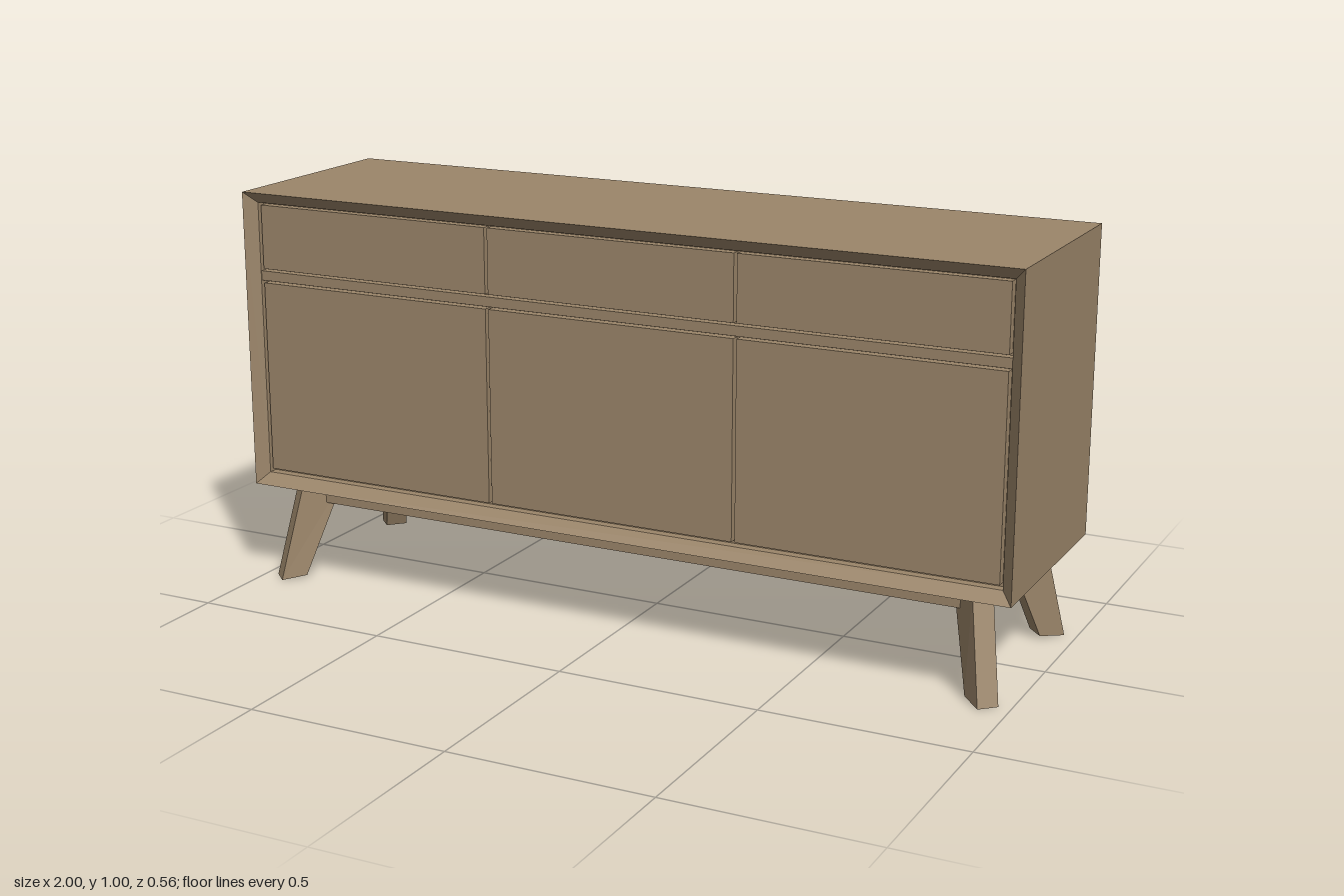
import * as THREE from 'three';

const wood = new THREE.MeshStandardMaterial({ color: 0x9c866a });
wood.name = 'wood';
const backboard = new THREE.MeshStandardMaterial({ color: 0x8b5a3b });
backboard.name = 'brown backboard';

// Closed flat-faced solid through a list of four-cornered loops
function loft(loops) {
  const p = [];
  const quad = (a, b, c, d) => p.push(...a, ...b, ...c, ...a, ...c, ...d);
  for (let i = 0; i < loops.length - 1; i++) {
    for (let j = 0; j < 4; j++) {
      const k = (j + 1) % 4;
      quad(loops[i][j], loops[i][k], loops[i + 1][k], loops[i + 1][j]);
    }
  }
  quad(...[...loops[0]].reverse());
  quad(...loops[loops.length - 1]);
  const g = new THREE.BufferGeometry();
  g.setAttribute('position', new THREE.Float32BufferAttribute(p, 3));
  g.computeVertexNormals();
  return g;
}

export function createModel() {
  const model = new THREE.Group();
  model.name = 'sideboard';

  const add = (name, geometry, material = wood) => {
    const mesh = new THREE.Mesh(geometry, material);
    mesh.name = name;
    model.add(mesh);
    return mesh;
  };
  // Box given by its limits
  const box = (name, x0, x1, y0, y1, z0, z1, material) =>
    add(name, new THREE.BoxGeometry(x1 - x0, y1 - y0, z1 - z0), material)
      .position.set((x0 + x1) / 2, (y0 + y1) / 2, (z0 + z1) / 2);

  // Cabinet body with a bevelled front frame around a shallow recess
  const rect = (inset, z) => {
    const x = 1 - inset, y0 = 0.25 + inset, y1 = 1 - inset;
    return [[-x, y0, z], [x, y0, z], [x, y1, z], [-x, y1, z]];
  };
  add('cabinetBody', loft([rect(0, -0.278), rect(0, 0.28), rect(0.028, 0.255), rect(0.028, 0.232)]));
  box('backPanel', -0.998, 0.998, 0.252, 0.972, -0.28, -0.275, backboard);

  // Three doors, three drawers and the rail between them
  const edges = [-0.968, -0.323, 0.323, 0.968];
  for (let i = 0; i < 3; i++) {
    const x0 = edges[i] + 0.004, x1 = edges[i + 1] - 0.004;
    box('door', x0, x1, 0.288, 0.77, 0.23, 0.254);
    box('drawerFront', x0, x1, 0.806, 0.966, 0.23, 0.254);
  }
  box('middleRail', -0.972, 0.972, 0.776, 0.8, 0.23, 0.253);

  // Open apron frame under the body
  for (const s of [-1, 1]) {
    const z = s * 0.17, x = s * 0.87;
    box('longApron', -0.885, 0.885, 0.193, 0.25, z - 0.015, z + 0.015);
    box('shortApron', x - 0.015, x + 0.015, 0.193, 0.25, -0.155, 0.155);
  }

  // Plain oval patch on the front apron
  const patch = add('apronPatch', new THREE.CylinderGeometry(0.036, 0.036, 0.004, 16), backboard);
  patch.rotation.x = Math.PI / 2;
  patch.scale.z = 0.45;
  patch.position.set(-0.465, 0.236, 0.186);

  // Splayed, tapered legs set diagonally at the corners
  const foot = [[0.933, 0, 0.28], [0.97, 0, 0.245], [0.925, 0.007, 0.195], [0.887, 0.007, 0.235]];
  const top = [[0.893, 0.25, 0.225], [0.93, 0.25, 0.19], [0.857, 0.25, 0.11], [0.822, 0.25, 0.15]];
  for (const sx of [-1, 1]) {
    for (const sz of [-1, 1]) {
      const mirror = (loop) => {
        const m = loop.map(([x, y, z]) => [x * sx, y, z * sz]);
        return sx * sz < 0 ? m.reverse() : m;
      };
      add(sz > 0 ? 'frontLeg' : 'backLeg', loft([mirror(foot), mirror(top)]));
    }
  }
  return model;
}
